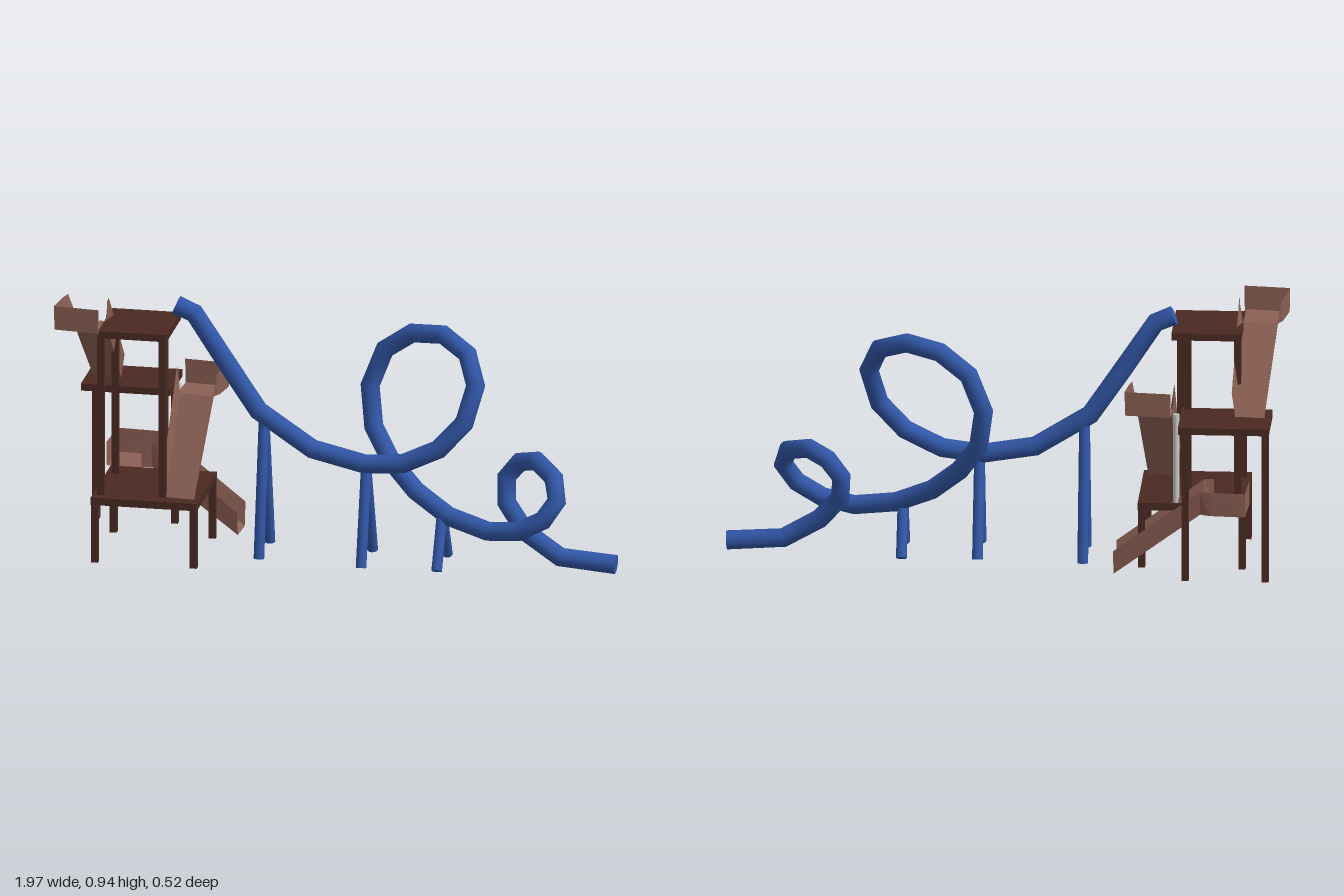
import * as THREE from 'three';

const mat = (color, flat = true) =>
  new THREE.MeshStandardMaterial({ color, flatShading: flat, side: THREE.DoubleSide });
const wood = mat(0x4a2a22);
const chuteMat = mat(0x8c6054);
const blue = mat(0x3156a6, false);
const grey = mat(0xcccccc, false);

function add(group, geometry, material, name) {
  const mesh = new THREE.Mesh(geometry, material);
  mesh.name = name;
  group.add(mesh);
  return mesh;
}

// Box given by its minimum and maximum corners
function box(group, name, x0, x1, y0, y1, z0, z1) {
  add(group, new THREE.BoxGeometry(x1 - x0, y1 - y0, z1 - z0), wood, name)
    .position.set((x0 + x1) / 2, (y0 + y1) / 2, (z0 + z1) / 2);
}

function post(group, name, x, z, y0, y1) {
  const h = 0.0125;
  box(group, name, x - h, x + h, y0, y1, z - h, z + h);
}

// Round bar between two points
function bar(group, name, a, b, radius, material) {
  const d = b.clone().sub(a);
  const mesh = add(group, new THREE.CylinderGeometry(radius, radius, d.length(), 12), material, name);
  mesh.position.copy(a).addScaledVector(d, 0.5);
  mesh.quaternion.setFromUnitVectors(new THREE.Vector3(0, 1, 0), d.normalize());
}

// Open trough: flat landing entered from its right, then a sloping chute
function openSlide(name, start, end, yTop, yEnd, landing) {
  const group = new THREE.Group();
  group.name = name;
  const length = Math.hypot(end[0] - start[0], end[1] - start[1]);
  const f = [(end[0] - start[0]) / length, (end[1] - start[1]) / length];
  const wall = 0.087;
  const at = (u, w, y) => [start[0] + f[0] * u - f[1] * w, y, start[1] + f[1] * u + f[0] * w];
  // rows: distance along, floor half width, rim half width, height
  const gate = [landing - 0.035, 0.075, 0.08, yTop];
  const rows = [[0, 0.08, 0.082, yTop], gate, [landing, 0.062, 0.075, yTop], [length, 0.052, 0.064, yEnd]];
  const floorPt = (r, s) => at(r[0], s * r[1], r[3]);
  const rimPt = (r, s) => at(r[0], s * r[2], r[3] + wall);
  const sheet = (label, quads) => {
    const pos = quads.flatMap(([a, b, c, d]) => [a, b, c, a, c, d].flat());
    const g = new THREE.BufferGeometry();
    g.setAttribute('position', new THREE.Float32BufferAttribute(pos, 3));
    g.computeVertexNormals();
    add(group, g, chuteMat, label);
  };
  const floor = [], left = [], right = [];
  for (let i = 0; i < rows.length - 1; i++) {
    const a = rows[i], b = rows[i + 1];
    floor.push([floorPt(a, -1), floorPt(a, 1), floorPt(b, 1), floorPt(b, -1)]);
    left.push([floorPt(a, -1), floorPt(b, -1), rimPt(b, -1), rimPt(a, -1)]);
    if (i > 0) right.push([floorPt(a, 1), rimPt(a, 1), rimPt(b, 1), floorPt(b, 1)]);
  }
  sheet('slideFloor', floor);
  sheet('slideLeftWall', left);
  sheet('slideRightWall', right);
  sheet('slideBackWall', [[floorPt(rows[0], -1), rimPt(rows[0], -1), rimPt(rows[0], 1), floorPt(rows[0], 1)]]);
  return group;
}

// Winding tube with one ring of vertices at each path point
function tubeSlide() {
  const group = new THREE.Group();
  group.name = 'tubeSlide';
  const radius = 0.034;
  const path = [
    [-0.6, 0.893, 0.02], [-0.535, 0.865, 0.02], [-0.42, 0.69, 0.02], [-0.305, 0.52, 0.022],
    [-0.11, 0.395, 0.035], [0.08, 0.358, 0.055], [0.22, 0.372, 0.07], [0.35, 0.435, 0.075],
    [0.44, 0.535, 0.065], [0.475, 0.665, 0.035], [0.435, 0.762, -0.02], [0.335, 0.807, -0.085],
    [0.215, 0.79, -0.133], [0.112, 0.715, -0.158], [0.06, 0.58, -0.155], [0.08, 0.44, -0.12],
    [0.15, 0.335, -0.072], [0.25, 0.245, -0.02], [0.38, 0.178, 0.04], [0.53, 0.148, 0.09],
    [0.645, 0.165, 0.122], [0.735, 0.215, 0.134], [0.782, 0.285, 0.12], [0.762, 0.352, 0.07],
    [0.685, 0.386, -0.01], [0.615, 0.362, -0.058], [0.566, 0.3, -0.068], [0.572, 0.215, -0.04],
    [0.645, 0.125, -0.003], [0.775, 0.045, 0.018], [0.975, 0.031, 0.022],
  ].map((p) => new THREE.Vector3(...p));
  const curve = new THREE.CatmullRomCurve3(path);
  curve.getPointAt = (t, target) => curve.getPoint(t, target);
  curve.getTangentAt = (t, target) => curve.getTangent(t, target);
  add(group, new THREE.TubeGeometry(curve, path.length - 1, radius, 20), blue, 'tube');
  // End caps
  for (const t of [0, 1]) {
    const cap = add(group, new THREE.CircleGeometry(radius, 20), blue, 'tubeCap');
    cap.position.copy(curve.getPoint(t));
    cap.quaternion.setFromUnitVectors(new THREE.Vector3(0, 0, 1),
      curve.getTangent(t).multiplyScalar(t ? 1 : -1));
  }
  // Splayed support legs: x, top y, top z, foot z front, foot z back
  for (const [x, y, z, zf, zb] of [
    [-0.285, 0.5, 0.022, 0.118, -0.085],
    [0.087, 0.345, 0.055, 0.15, -0.065],
    [0.355, 0.185, 0.035, 0.135, -0.065],
  ]) {
    for (const foot of [zf, zb]) {
      bar(group, 'supportLeg', new THREE.Vector3(x, 0.004, foot), new THREE.Vector3(x, y, z), 0.019, blue);
    }
  }
  return group;
}

function tower() {
  const group = new THREE.Group();
  group.name = 'tower';
  // Three staggered decks
  box(group, 'lowerDeck', -0.86, -0.48, 0.213, 0.24, -0.11, 0.26);
  box(group, 'middleDeck', -0.95, -0.63, 0.54, 0.565, -0.25, -0.02);
  box(group, 'topDeck', -0.84, -0.595, 0.82, 0.846, -0.04, 0.225);
  // Ground legs of the lower and middle decks
  for (const x of [-0.847, -0.493]) for (const z of [0.247, -0.097]) post(group, 'lowerDeckLeg', x, z, 0, 0.215);
  for (const x of [-0.937, -0.655]) post(group, 'middleDeckLeg', x, -0.237, 0, 0.542);
  // Posts from the lower deck to the top deck
  for (const [x, z] of [[-0.832, 0.213], [-0.613, 0.2], [-0.827, -0.027], [-0.652, -0.027]]) {
    post(group, 'topDeckPost', x, z, 0.238, 0.822);
  }
  // Metal pole below the middle slide
  bar(group, 'metalPole', new THREE.Vector3(-0.615, 0.24, -0.095), new THREE.Vector3(-0.615, 0.565, -0.095), 0.011, grey);
  return group;
}

export function createModel() {
  const model = new THREE.Group();
  model.name = 'slideTower';
  model.add(
    tower(),
    openSlide('upperSlide', [-0.915, 0.243], [-0.875, -0.12], 0.845, 0.566, 0.145),
    openSlide('middleSlide', [-0.515, -0.115], [-0.55, 0.212], 0.56, 0.236, 0.125),
    openSlide('lowerSlide', [-0.87, -0.182], [-0.403, -0.163], 0.242, 0.01, 0.16),
    tubeSlide(),
  );
  return model;
}
